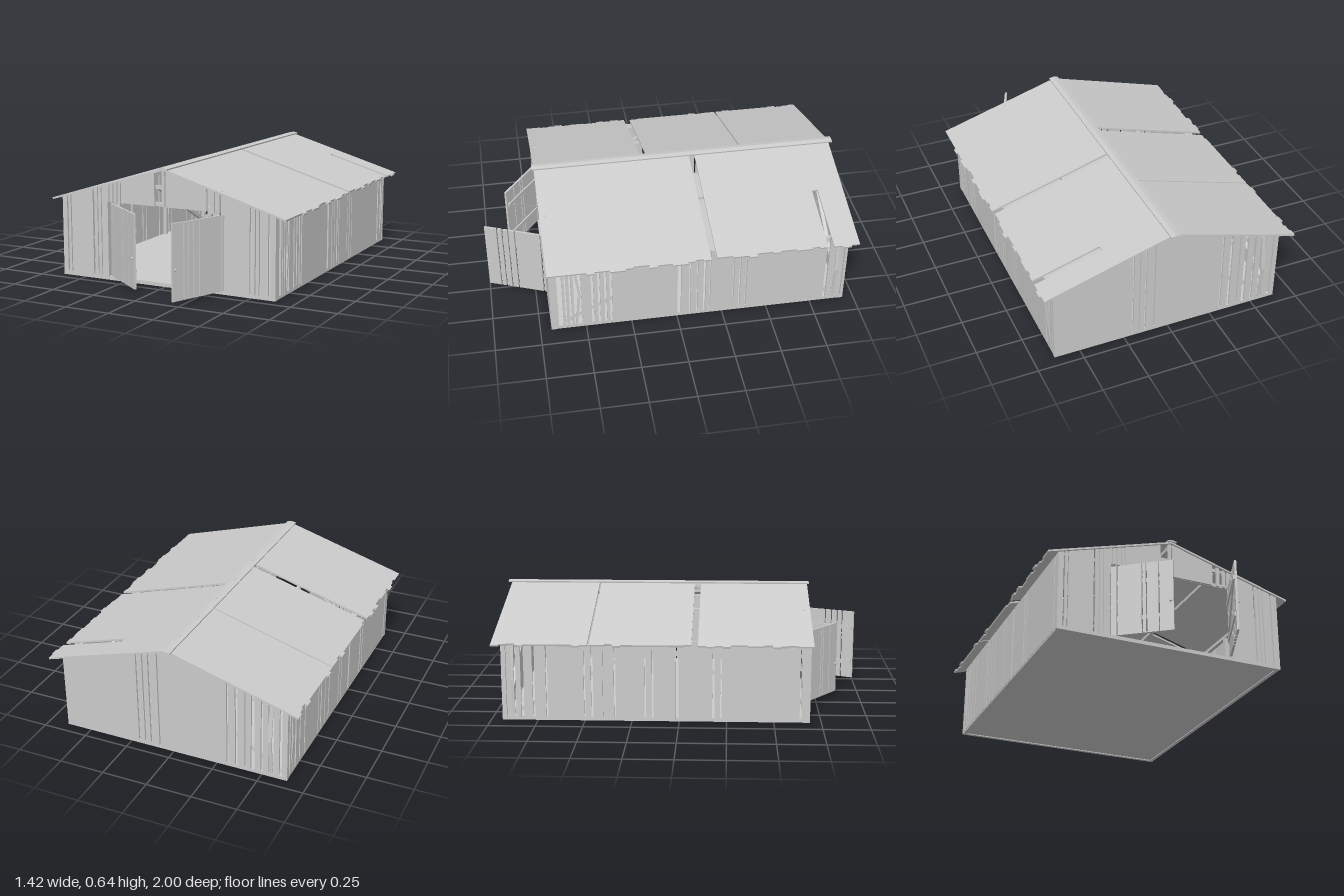
import * as THREE from 'three';

const mat = new THREE.MeshStandardMaterial({ color: 0xcccccc, flatShading: true });
const SLOPE = 0.296, RIDGE = 0.635, THICK = 0.012;
const FRONT = 0.69, BACK = -0.94, SIDE = 0.64, MID = (FRONT + BACK) / 2;
const roofY = x => RIDGE - 0.01 - SLOPE * Math.abs(x);

let seed = 7;
const rand = () => (seed = (seed * 16807) % 2147483647) / 2147483647;

function add(parent, name, geo, x = 0, y = 0, z = 0) {
  const m = new THREE.Mesh(geo, mat);
  m.name = name;
  m.position.set(x, y, z);
  parent.add(m);
  return m;
}
const box = (parent, name, w, h, d, x, y, z) => add(parent, name, new THREE.BoxGeometry(w, h, d), x, y, z);

function group(parent, name, x = 0, y = 0, z = 0, ry = 0) {
  const g = new THREE.Group();
  g.name = name;
  g.position.set(x, y, z);
  g.rotation.y = ry;
  parent.add(g);
  return g;
}

// Solid stretches left between gaps given as [centre, width]
function spans(a, b, gaps) {
  const out = [];
  let start = a;
  for (const [c, w] of [...gaps].sort((p, q) => p[0] - q[0])) {
    if (c - w / 2 > start) out.push([start, c - w / 2]);
    start = Math.max(start, c + w / 2);
  }
  if (b > start) out.push([start, b]);
  return out;
}

// Upright boards whose tops follow the given height rule, outer face at local z = 0
function boards(parent, name, a, b, gaps, bottom, top) {
  for (const [u, v] of spans(a, b, gaps)) {
    const s = new THREE.Shape();
    s.moveTo(u, bottom);
    s.lineTo(v, bottom);
    s.lineTo(v, top(v));
    if (u < 0 && v > 0) s.lineTo(0, top(0));
    s.lineTo(u, top(u));
    const geo = new THREE.ExtrudeGeometry(s, { depth: THICK, bevelEnabled: false });
    add(parent, name, geo, 0, 0, -THICK);
  }
}

// Straight timber in the local xy plane
function timber(parent, name, x0, y0, x1, y1, z, size = 0.02) {
  const m = box(parent, name, Math.hypot(x1 - x0, y1 - y0), size, size, (x0 + x1) / 2, (y0 + y1) / 2, z);
  m.rotation.z = Math.atan2(y1 - y0, x1 - x0);
  return m;
}

// Warped board that bows outward at mid height
function warpedBoard(parent, x, w, bow, h = 0.42) {
  const geo = new THREE.BoxGeometry(w, h, 0.006, 1, 4, 1);
  const p = geo.attributes.position;
  for (let i = 0; i < p.count; i++) {
    p.setZ(i, p.getZ(i) + bow * (1 - Math.abs(p.getY(i)) / (h / 2)));
  }
  geo.computeVertexNormals();
  add(parent, 'warpedBoard', geo, x, 0.01 + h / 2, -0.005);
}

function buildBase(g) {
  const len = FRONT - BACK;
  box(g, 'floor', 2 * SIDE - 0.04, 0.015, len - 0.03, 0, 0.0125, MID);
  for (const s of [-1, 1]) {
    box(g, 'sideSill', 0.02, 0.02, len, s * 0.628, 0.01, MID);
    box(g, 'endSill', 1.28, 0.02, 0.02, 0, 0.01, s > 0 ? FRONT - 0.01 : BACK + 0.01);
    // Posts and wall plates
    for (const z of [FRONT - 0.025, 0.15, -0.4, BACK + 0.025]) {
      box(g, 'post', 0.022, 0.41, 0.022, s * 0.616, 0.22, z);
    }
    box(g, 'wallPlate', 0.02, 0.02, len - 0.02, s * 0.616, 0.422, MID);
    box(g, 'purlin', 0.02, 0.018, len - 0.03, s * 0.285, roofY(0.285) - 0.012, MID);
  }
  box(g, 'ridgeBeam', 0.02, 0.02, len - 0.03, 0, 0.61, MID);
}

function buildFront(g) {
  const w = group(g, 'frontWall', 0, 0, FRONT);
  boards(w, 'frontBoard', -SIDE, -0.35, [[-0.607, 0.01], [-0.585, 0.006], [-0.44, 0.01], [-0.413, 0.005], [-0.39, 0.005]], 0.01, roofY);
  boards(w, 'frontBoard', 0.355, SIDE, [[0.5, 0.01], [0.527, 0.006], [0.55, 0.006], [0.602, 0.008]], 0.01, roofY);
  boards(w, 'gableBoard', -0.35, 0.355, [[-0.34, 0.006], [-0.315, 0.006], [-0.29, 0.006], [-0.268, 0.005],
    [-0.038, 0.045], [0.005, 0.008], [0.26, 0.025], [0.3, 0.018], [0.33, 0.01]], 0.43, roofY);
  for (const y of [0.44, 0.53]) {
    box(w, 'gableRail', y < 0.5 ? 1.24 : 0.66, 0.02, 0.015, 0, y, -0.021);
  }
  for (const x of [-0.36, 0.365]) box(w, 'doorPost', 0.02, 0.42, 0.02, x, 0.22, -0.022);
}

function buildBack(g) {
  const w = group(g, 'backWall', 0, 0, BACK, Math.PI);
  boards(w, 'backBoard', -SIDE, SIDE, [[-0.2, 0.008], [-0.165, 0.006], [-0.13, 0.008], [-0.08, 0.006],
    [0.31, 0.01], [0.36, 0.015], [0.41, 0.008], [0.45, 0.02], [0.5, 0.012], [0.55, 0.03], [0.605, 0.02]], 0.01, roofY);
  for (const s of [-1, 1]) timber(w, 'backBrace', 0, 0.42, s * 0.6, 0.04, -0.024);
  timber(w, 'backRail', -0.61, 0.43, 0.61, 0.43, -0.024);
  warpedBoard(w, 0.55, 0.02, 0.02);
}

function buildSides(g) {
  const top = () => 0.436;
  // Gaps are listed by world z
  const sides = [
    { name: 'leftWall', s: 1, gaps: [[0.635, 0.025], [0.605, 0.008], [0.58, 0.01], [0.54, 0.04], [0.46, 0.012], [0.425, 0.012],
      [0.39, 0.012], [0.36, 0.012], [-0.012, 0.02], [-0.07, 0.008], [-0.11, 0.006], [-0.15, 0.012], [-0.18, 0.006],
      [-0.31, 0.006], [-0.345, 0.008], [-0.38, 0.006], [-0.83, 0.016], [-0.88, 0.012], [-0.92, 0.008]] },
    { name: 'rightWall', s: -1, gaps: [[0.64, 0.01], [0.22, 0.008], [0.18, 0.012], [-0.012, 0.018], [-0.14, 0.008], [-0.18, 0.008],
      [-0.34, 0.01], [-0.4, 0.008], [-0.46, 0.012], [-0.5, 0.008], [-0.7, 0.01], [-0.77, 0.012], [-0.83, 0.016], [-0.87, 0.012], [-0.91, 0.012]] },
  ];
  for (const { name, s, gaps } of sides) {
    const w = group(g, name, s * SIDE, 0, 0, s * Math.PI / 2);
    const [a, b] = s > 0 ? [-FRONT, -BACK] : [BACK, FRONT];
    boards(w, 'sideBoard', a, b, gaps.map(([c, d]) => [-s * c, d]), 0.01, top);
    timber(w, 'sideBrace', -s * 0.62, 0.035, s * 0.1, 0.41, -0.024);
    timber(w, 'sideBrace', s * 0.88, 0.035, s * 0.16, 0.41, -0.024);
    warpedBoard(w, s * 0.88, 0.016, s > 0 ? 0.018 : 0.012);
    // Loose broken board leaning in the front gap
    if (s > 0) {
      timber(w, 'looseBoard', -0.555, 0.43, -0.53, 0.22, -0.006, 0.012);
      timber(w, 'looseBoard', -0.53, 0.22, -0.55, 0.02, -0.006, 0.012);
    }
  }
}

function buildRoof(g) {
  const cos = Math.cos(Math.atan(SLOPE));
  const slopes = [
    { name: 'leftRoof', s: 1, gaps: [[-0.187, 0.032], [-0.822, 0.032]] },
    { name: 'rightRoof', s: -1, gaps: [[-0.472, 0.009], [0.082, 0.034]] },
  ];
  for (const { name, s, gaps } of slopes) {
    const r = group(g, name, 0, RIDGE, 0);
    r.rotation.z = -s * Math.atan(SLOPE);
    const board = (z0, z1, x) => {
      const len = x / cos;
      box(r, 'roofBoard', len, 0.01, z1 - z0, s * len / 2, -0.005, (z0 + z1) / 2);
    };
    for (const [a, b] of spans(-0.98, 0.7, gaps)) {
      const n = Math.max(1, Math.round((b - a) / 0.042)), d = (b - a) / n;
      for (let i = 0; i < n; i++) {
        const k = rand();
        board(a + i * d, a + (i + 1) * d, k < 0.6 ? 0.7 : k < 0.8 ? 0.692 : 0.71);
      }
    }
    // Broken board that still covers the upper part of the rear gap
    if (s > 0) board(-0.838, -0.806, 0.335);
    const cap = box(r, 'ridgeCap', 0.028, 0.008, 1.71, s * 0.012, 0.003, -0.145);
    cap.rotation.z = s * 0.1;
  }
}

function buildDoor(g, name, hinge, tip, gaps) {
  const dx = tip[0] - hinge[0], dz = tip[1] - hinge[1], len = Math.hypot(dx, dz);
  const d = group(g, name, hinge[0], 0, hinge[1], Math.atan2(-dz, dx));
  const inner = dx > 0 ? -THICK : 0; // rails sit on the inner face
  const rz = dx > 0 ? inner - 0.004 : 0.004;
  boards(d, 'doorBoard', 0, len, gaps.map(t => [t * len, 0.006]), 0.02, () => 0.42);
  for (const y of [0.115, 0.325]) box(d, 'doorRail', len - 0.02, 0.022, 0.008, len / 2, y, rz);
  timber(d, 'doorBrace', 0.02, 0.12, len - 0.02, 0.32, rz, 0.008);
  add(d, 'doorKnob', new THREE.SphereGeometry(0.007, 8, 6), len - 0.015, 0.185, dx > 0 ? 0.004 : -THICK - 0.004);
}

export function createModel() {
  const g = new THREE.Group();
  g.name = 'barn';
  buildBase(g);
  buildFront(g);
  buildBack(g);
  buildSides(g);
  buildRoof(g);
  buildDoor(g, 'rightDoor', [-0.342, 0.675], [-0.08, 0.872], [0.1, 0.5, 0.57, 0.77]);
  buildDoor(g, 'leftDoor', [0.338, 0.68], [0.21, 0.995], [0.06, 0.49, 0.6, 0.7, 0.79]);
  return g;
}
